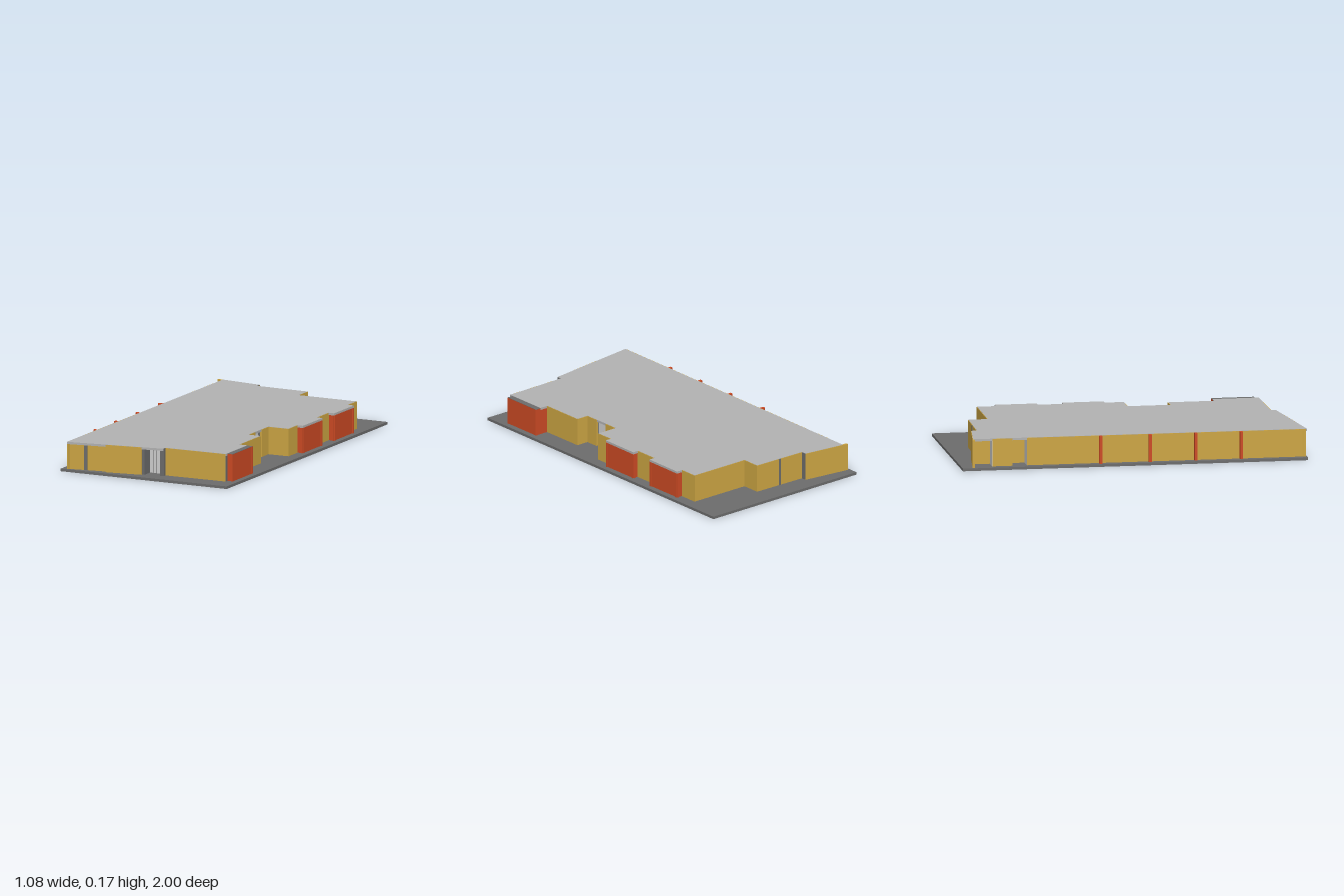
import * as THREE from 'three';

export function createModel() {
  const group = new THREE.Group();
  group.name = 'building';
  const mat = (name, color) => {
    const m = new THREE.MeshStandardMaterial({ color });
    m.name = name;
    return m;
  };
  const grey = mat('slab grey', 0x6c6c6c);
  const roofGrey = mat('roof grey', 0xb2b2b2);
  const pale = mat('door pale grey', 0xd0d0d0);
  const yellow = mat('wall yellow', 0xcca543);
  const red = mat('bay red', 0xcc4a24);

  const FLOOR = 0.015, UNDER = 0.162, TOP = 0.175, FULL = 0.1738;

  // Flat plate from an x/z outline
  function plate(name, material, points, y0, y1) {
    const shape = new THREE.Shape(points.map(([x, z]) => new THREE.Vector2(x, -z)));
    const geo = new THREE.ExtrudeGeometry(shape, { depth: y1 - y0, bevelEnabled: false });
    geo.rotateX(-Math.PI / 2);
    const mesh = new THREE.Mesh(geo, material);
    mesh.position.y = y0;
    mesh.name = name;
    group.add(mesh);
  }

  // Upright panel along a line; its outer face lies on the right-hand side of travel
  // when walking the outline front, right side, back, left side.
  function wall(name, material, [x1, z1], [x2, z2], h = FULL, out = 0.003, t = 0.012) {
    const dx = x2 - x1, dz = z2 - z1, len = Math.hypot(dx, dz);
    const mesh = new THREE.Mesh(new THREE.BoxGeometry(len + 0.004, h - FLOOR, t), material);
    const off = out - t / 2;
    mesh.position.set((x1 + x2) / 2 - (dz / len) * off, (h + FLOOR) / 2, (z1 + z2) / 2 + (dx / len) * off);
    mesh.rotation.y = -Math.atan2(dz, dx);
    mesh.name = name;
    group.add(mesh);
  }

  // Chain of walls through several points
  function walls(name, material, points, h, out) {
    for (let i = 1; i < points.length; i++) wall(name, material, points[i - 1], points[i], h, out);
  }

  function box(name, material, x0, x1, z0, z1, h = UNDER, y0 = FLOOR) {
    const mesh = new THREE.Mesh(new THREE.BoxGeometry(x1 - x0, h - y0, z1 - z0), material);
    mesh.position.set((x0 + x1) / 2, (y0 + h) / 2, (z0 + z1) / 2);
    mesh.name = name;
    group.add(mesh);
  }

  // Ground slab and roof
  plate('groundSlab', grey, [[-0.54, 0.993], [0.525, 1], [0.535, -0.995], [-0.53, -1]], 0, FLOOR);
  plate('roof', roofGrey, [
    [-0.5, 0.993], [0.074, 0.914], [0.074, 0.885], [0.458, 0.88],
    [0.458, 0.613], [0.407, 0.613], [0.407, 0.349], [0.332, 0.349], [0.332, 0.1], [0.46, 0.1],
    [0.46, -0.008], [0.498, -0.008], [0.5, -0.25], [0.463, -0.25], [0.463, -0.394],
    [0.501, -0.394], [0.503, -0.638], [0.463, -0.638], [0.463, -0.746],
    [0.093, -0.749], [0.093, -0.86], [-0.235, -0.868], [-0.235, -0.9], [-0.485, -0.934],
  ], UNDER, TOP);

  // Front walls
  wall('frontWall', yellow, [-0.5, 0.993], [-0.4, 0.979], UNDER, -0.015);
  wall('frontPost', grey, [-0.4, 0.979], [-0.385, 0.977], UNDER, -0.013);
  wall('frontWall', yellow, [-0.385, 0.977], [-0.265, 0.961], UNDER, -0.015);
  wall('frontWall', yellow, [-0.265, 0.961], [-0.055, 0.932]);
  wall('frontWall', yellow, [0.079, 0.885], [0.455, 0.88]);

  // Recessed entrance
  box('entrancePost', grey, -0.055, -0.037, 0.845, 0.927);
  box('entrancePost', grey, 0.053, 0.077, 0.845, 0.91, FULL);
  box('entranceDoor', pale, -0.037, 0.053, 0.845, 0.857);
  for (const x of [-0.016, 0.001]) box('doorJoint', grey, x - 0.001, x + 0.001, 0.857, 0.859);

  // Front bay with its low cap
  box('bayPost', grey, 0.446, 0.459, 0.862, 0.88);
  wall('bayWall', red, [0.458, 0.86], [0.493, 0.86], 0.172, 0);
  wall('bayWall', red, [0.493, 0.86], [0.493, 0.613], 0.172, 0);
  wall('bayWall', red, [0.493, 0.613], [0.41, 0.613], 0.172, 0);
  box('bayCap', grey, 0.459, 0.493, 0.613, 0.86, FULL, 0.172);

  // Right-hand court
  walls('courtWall', yellow, [[0.407, 0.613], [0.407, 0.349], [0.332, 0.349], [0.332, 0.27]]);
  box('courtDoor', pale, 0.3, 0.312, 0.185, 0.27);
  box('courtDoorPost', grey, 0.3, 0.325, 0.182, 0.187);
  walls('courtWall', yellow, [[0.332, 0.185], [0.332, 0.1], [0.46, 0.1], [0.46, -0.008]]);

  // Bays on the long side
  for (const [x, z0, z1] of [[0.499, -0.008, -0.25], [0.502, -0.394, -0.638]]) {
    walls('bayWall', red, [[0.455, z0], [x, z0], [x, z1], [0.455, z1]], UNDER, -0.003);
  }
  wall('sideWall', yellow, [0.463, -0.25], [0.463, -0.394]);

  // Back walls
  walls('backWall', yellow, [[0.463, -0.638], [0.463, -0.746], [0.093, -0.749], [0.093, -0.86], [-0.065, -0.864]]);
  wall('backPost', grey, [-0.065, -0.864], [-0.075, -0.864], FULL, 0.005);
  wall('backWall', yellow, [-0.075, -0.864], [-0.235, -0.868]);
  wall('backWall', yellow, [-0.235, -0.9], [-0.515, -0.938]);
  wall('backReturn', grey, [-0.235, -0.868], [-0.235, -0.9], FULL, 0.002);

  // Left wall with two corner recesses, each with a pale end panel
  const leftX = (z) => -0.4925 - 0.0078 * z;
  const at = (z) => [leftX(z), z];
  wall('leftPier', yellow, at(-0.82), at(-0.71));
  wall('leftWall', yellow, at(-0.62), at(0.985));
  wall('recessWall', yellow, [-0.41, -0.915], [-0.41, -0.6], UNDER, 0);
  for (const z of [-0.82, -0.62]) box('recessPanel', pale, leftX(z), -0.405, z - 0.004, z + 0.008);
  box('pierReturn', yellow, leftX(-0.71), -0.405, -0.722, -0.71);

  // Red fins on the left wall
  for (const z of [-0.2, 0.085, 0.35, 0.612]) {
    box('fin', red, -0.521, leftX(z) + 0.002, z - 0.008, z + 0.008, 0.1735);
  }
  return group;
}
